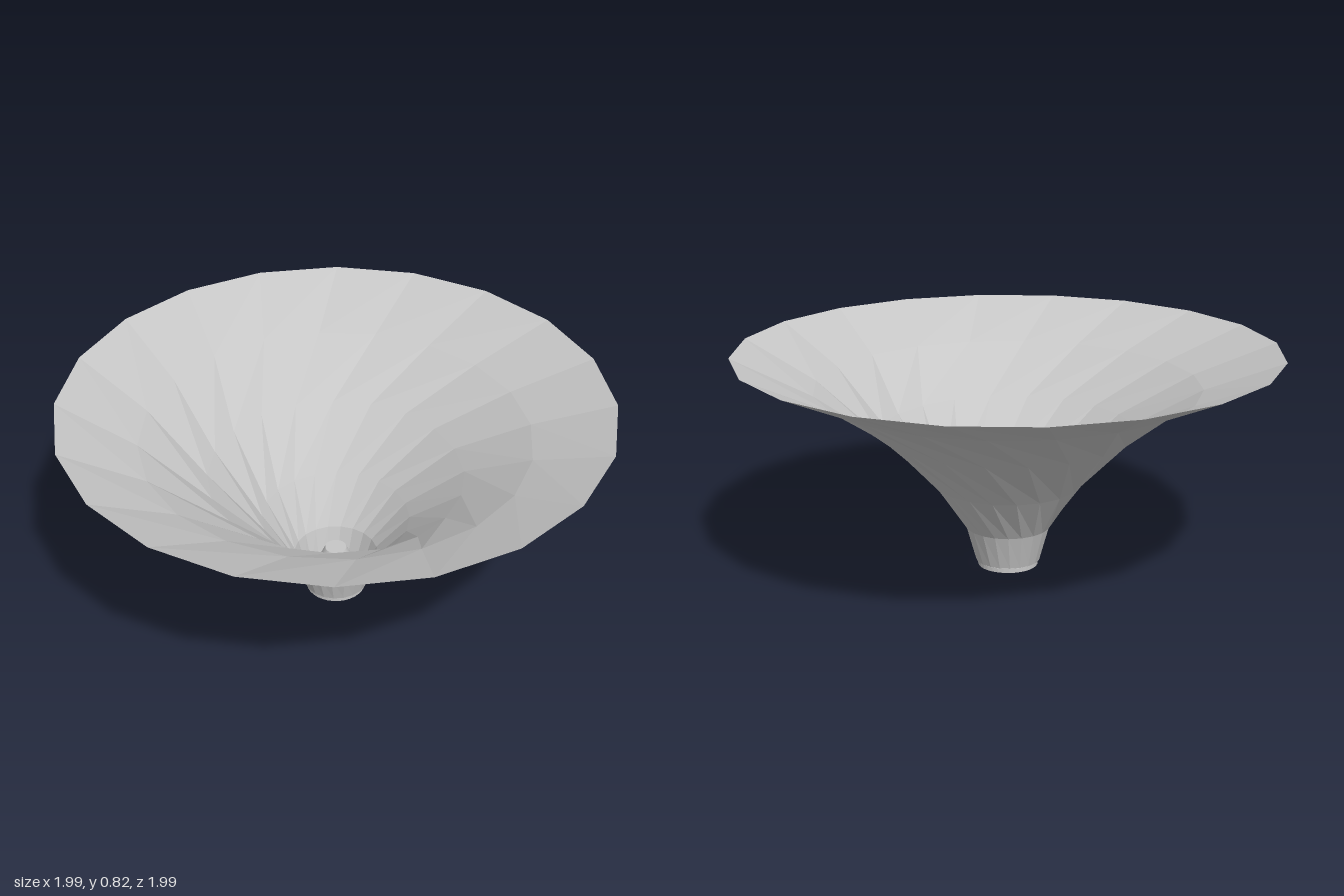
import * as THREE from 'three';

const SIDES = 20;
const STEP = (Math.PI * 2) / SIDES;

// Rings from rim to throat: radius, height, rotation in degrees (the swirl)
const RINGS = [
  [1.0, 0.82, -6.4],
  [0.71, 0.69, -12],
  [0.47, 0.52, -26],
  [0.275, 0.32, -42],
  [0.157, 0.15, -54],
  [0.12, 0.02, -57],
];

// Point on a ring; the index counts against the x-to-z angle
function ringPoint([r, y, deg], i) {
  const a = THREE.MathUtils.degToRad(deg) - i * STEP;
  return [r * Math.cos(a), y, r * Math.sin(a)];
}

// Faceted, swirling shell; each quad is split along its long diagonal
function swirlGeometry() {
  const pos = [];
  for (let k = 0; k < RINGS.length - 1; k++) {
    for (let i = 0; i < SIDES; i++) {
      const a = ringPoint(RINGS[k], i);
      const b = ringPoint(RINGS[k], i + 1);
      const c = ringPoint(RINGS[k + 1], i);
      const d = ringPoint(RINGS[k + 1], i + 1);
      pos.push(...a, ...b, ...d, ...a, ...d, ...c);
    }
  }
  const g = new THREE.BufferGeometry();
  g.setAttribute('position', new THREE.Float32BufferAttribute(pos, 3));
  g.computeVertexNormals();
  return g;
}

export function createModel() {
  const group = new THREE.Group();
  group.name = 'swirlFunnel';

  const grey = new THREE.MeshStandardMaterial({
    color: 0xc6c6c6, flatShading: true, side: THREE.DoubleSide,
  });
  grey.name = 'light grey';

  // Flared funnel, open at both ends
  const funnel = new THREE.Mesh(swirlGeometry(), grey);
  funnel.name = 'funnel';
  group.add(funnel);

  // Base disc, leaving a thin gap inside the throat
  const base = new THREE.Mesh(new THREE.CylinderGeometry(0.112, 0.112, 0.016, 32), grey);
  base.name = 'baseDisc';
  base.position.y = 0.008;
  group.add(base);

  // Blunt cone standing in the throat
  const cone = new THREE.Mesh(new THREE.CylinderGeometry(0.04, 0.11, 0.16, 32), grey);
  cone.name = 'centreCone';
  cone.position.y = 0.096;
  group.add(cone);

  return group;
}
